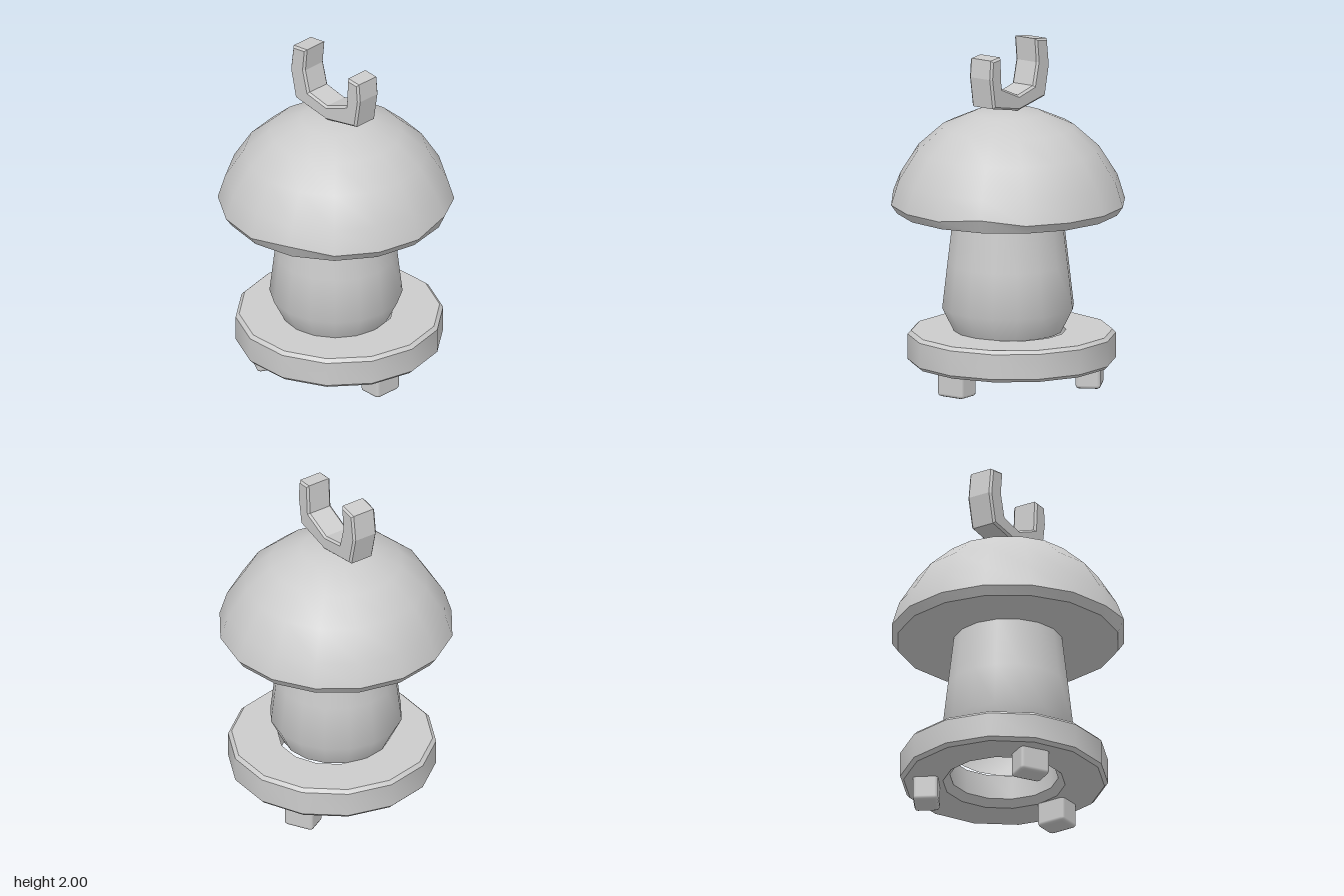
import * as THREE from 'three';
import { toCreasedNormals } from 'three/addons/utils/BufferGeometryUtils.js';
import { RoundedBoxGeometry } from 'three/addons/geometries/RoundedBoxGeometry.js';

const grey = new THREE.MeshStandardMaterial({ color: 0xcccccc });
const greyDouble = new THREE.MeshStandardMaterial({ color: 0xcccccc, side: THREE.DoubleSide });

const points = (list) => list.map(([x, y]) => new THREE.Vector2(x, y));

function lathe(profile, sides, start = 0) {
  return new THREE.LatheGeometry(points(profile), sides, start);
}

function part(name, geometry, material = grey) {
  const mesh = new THREE.Mesh(geometry, material);
  mesh.name = name;
  return mesh;
}

export function createModel() {
  const model = new THREE.Group();
  model.name = 'mushroomFigure';
  const crease = 0.7;

  // Domed cap with a flat underside and two small nicks in the rim
  const cap = lathe([
    [0, 1.02], [0.64, 1.02], [0.675, 1.07], [0.632, 1.21], [0.525, 1.38],
    [0.38, 1.51], [0.2, 1.59], [0, 1.612],
  ], 16);
  const pos = cap.attributes.position;
  const nicks = [Math.PI / 8, Math.PI * 5 / 8];
  for (let i = 0; i < pos.count; i++) {
    const angle = Math.atan2(pos.getX(i), pos.getZ(i));
    const onRim = Math.abs(pos.getY(i) - 1.07) < 0.001;
    if (onRim && nicks.some((a) => Math.abs(a - angle) < 0.01)) pos.setY(i, 1.1);
  }
  model.add(part('cap', toCreasedNormals(cap, crease)));

  // Hollow stem, widest near its foot
  const stem = lathe([[0.31, 0.32], [0.38, 0.46], [0.35, 0.72], [0.313, 1.03]], 16);
  model.add(part('stem', toCreasedNormals(stem, crease), greyDouble));

  // Bevelled base ring with a hole through it
  const ring = lathe([
    [0.35, 0.14], [0.575, 0.14], [0.595, 0.16], [0.595, 0.305], [0.575, 0.325],
    [0.31, 0.325], [0.31, 0.18], [0.35, 0.14],
  ], 14, Math.PI / 2);
  const base = part('baseRing', toCreasedNormals(ring, crease));
  base.position.z = -0.027;
  model.add(base);

  // Three stubby feet, each turned to face outwards
  const footGeometry = new RoundedBoxGeometry(0.145, 0.18, 0.18, 1, 0.02);
  [[0.418, 0.055, 0], [-0.245, 0.32, -2], [-0.245, -0.397, 2]].forEach(([x, z, turn]) => {
    const foot = part('foot', footGeometry);
    foot.position.set(x, 0.09, z);
    foot.rotation.y = turn * Math.PI / 3;
    model.add(foot);
  });

  // Uneven two-pronged crest on top
  const bevel = 0.012;
  const outline = new THREE.Shape(points([
    [0, 1.622], [0.23, 1.67], [0.257, 1.835], [0.248, 1.933], [0.182, 1.938],
    [0.172, 1.76], [0, 1.688], [-0.155, 1.72], [-0.192, 1.86], [-0.178, 1.988],
    [-0.265, 1.975], [-0.284, 1.83], [-0.245, 1.662],
  ]));
  const crest = new THREE.ExtrudeGeometry(outline, {
    depth: 0.16 - 2 * bevel, bevelEnabled: true, bevelSize: bevel,
    bevelThickness: bevel, bevelSegments: 1,
  });
  crest.translate(0, 0, -0.08 + bevel);
  model.add(part('crest', crest));

  return model;
}
